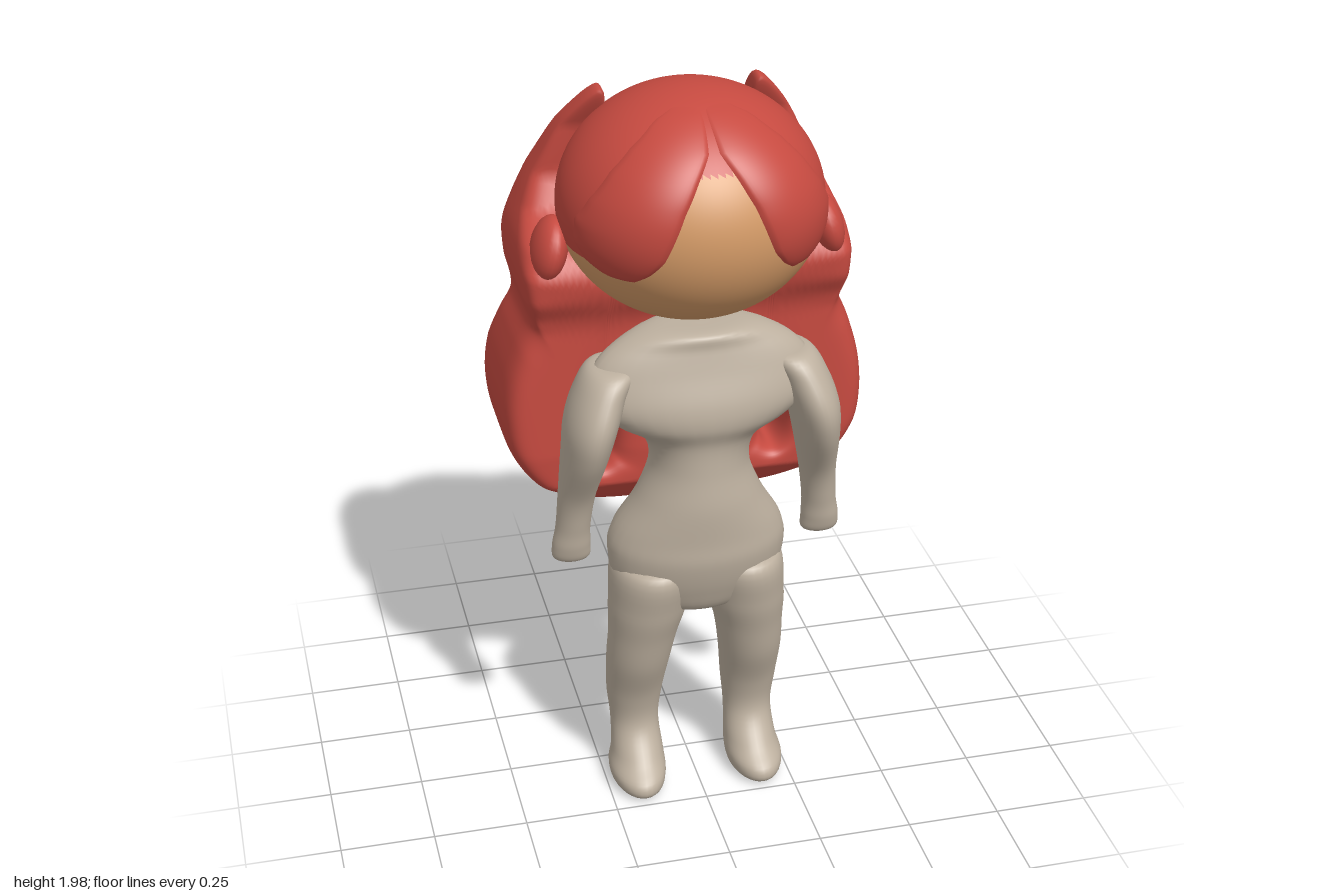
import * as THREE from 'three';
import { mergeVertices } from 'three/addons/utils/BufferGeometryUtils.js';

const mat = (name, color) => Object.assign(new THREE.MeshStandardMaterial({ color }), { name });

// Smooth surface from f(u, v) -> [x, y, z]; flip reverses the faces for mirrored parts
function surface(f, nu, nv, flip = false) {
  const pos = [], idx = [];
  for (let j = 0; j <= nv; j++)
    for (let i = 0; i <= nu; i++) pos.push(...f(i / nu, j / nv));
  for (let j = 0; j < nv; j++)
    for (let i = 0; i < nu; i++) {
      const a = j * (nu + 1) + i, b = a + 1, c = a + nu + 1, d = c + 1;
      idx.push(...(flip ? [a, b, c, b, d, c] : [a, c, b, b, c, d]));
    }
  let g = new THREE.BufferGeometry();
  g.setAttribute('position', new THREE.Float32BufferAttribute(pos, 3));
  g.setIndex(idx);
  g = mergeVertices(g, 1e-5);
  g.computeVertexNormals();
  return g;
}

// Limb through elliptical sections [x, y, z, radiusX, radiusZ], bottom to top, with closed ends
function limb(rows, side = 1) {
  const first = rows[0], last = rows[rows.length - 1];
  const all = [
    [first[0], first[1] - 0.006, first[2], 0, 0], ...rows,
    [last[0], last[1] + 0.006, last[2], 0, 0]];
  const centre = new THREE.CatmullRomCurve3(all.map(r => new THREE.Vector3(r[0] * side, r[1], r[2])), false, 'catmullrom');
  const radius = new THREE.CatmullRomCurve3(all.map(r => new THREE.Vector3(r[3], r[4], 0)), false, 'catmullrom');
  return surface((u, v) => {
    const c = centre.getPoint(v), r = radius.getPoint(v), a = u * Math.PI * 2;
    return [c.x + r.x * Math.cos(a), c.y, c.z + r.y * Math.sin(a)];
  }, 32, (all.length - 1) * 6);
}

// Linear lookup in a [key, value...] table, returning column k
function lookup(table, key, k = 1) {
  if (key <= table[0][0]) return table[0][k];
  for (let i = 1; i < table.length; i++)
    if (key <= table[i][0]) {
      const a = table[i - 1], b = table[i];
      return THREE.MathUtils.lerp(a[k], b[k], (key - a[0]) / (b[0] - a[0]));
    }
  return table[table.length - 1][k];
}

// One half of the long hair: a thick slab with a tunnel through it
const hairOutline = new THREE.CatmullRomCurve3([
  [-0.12, 0.8], [0.04, 0.79], [0.2, 0.8], [0.3, 0.835], [0.4, 0.9], [0.465, 1.0], [0.48, 1.1], [0.47, 1.2],
  [0.44, 1.3], [0.41, 1.38], [0.425, 1.47], [0.425, 1.56], [0.395, 1.65], [0.35, 1.75], [0.28, 1.88],
  [0.2, 1.96], [0.18, 1.85], [0.16, 1.72], [0.1, 1.64], [0, 1.61], [-0.12, 1.61], [-0.13, 1.3], [-0.13, 1.0],
].map(([x, y]) => new THREE.Vector3(x, y, 0)), true);
const hairDepth = [ // y, front z, back z
  [0.79, -0.06, -0.26], [0.83, -0.02, -0.32], [0.9, 0.04, -0.35], [1.0, 0.05, -0.375], [1.1, 0.05, -0.385],
  [1.2, 0.05, -0.37], [1.3, 0.05, -0.325], [1.36, 0.05, -0.3], [1.4, 0.06, -0.315], [1.45, 0.09, -0.33],
  [1.52, 0.1, -0.335], [1.58, 0.06, -0.32], [1.64, -0.06, -0.29], [1.72, -0.11, -0.26],
  [1.85, -0.09, -0.19], [1.96, -0.02, -0.12]];

function longHair(side) {
  const hx = 0.235, hy = 1.025;
  return surface((u, v) => {
    const p = hairOutline.getPoint(u), a = Math.atan2(p.y - hy, p.x - hx);
    const s = 0.5 - 0.5 * Math.cos(v * Math.PI * 2);
    const x = THREE.MathUtils.lerp(hx + 0.035 * Math.cos(a), p.x, s);
    const y = THREE.MathUtils.lerp(hy + 0.075 * Math.sin(a), p.y, s);
    const front = lookup(hairDepth, y, 1), back = lookup(hairDepth, y, 2), mid = (front + back) / 2;
    const round = Math.pow(Math.max(0, 1 - Math.pow(Math.abs(2 * s - 1), 5)), 1 / 5);
    return [side * x, y, mid + ((v <= 0.5 ? front : back) - mid) * round];
  }, 160, 72, side < 0);
}

// Fringe lock lying on the head: rows of height, inner x and outer x
const headY = 1.695, headZ = 0.05, headR = 0.335, headH = 0.295;
const fringeRows = [
  [1.59, 0.2, 0.25], [1.62, 0.165, 0.295], [1.66, 0.135, 0.318], [1.72, 0.11, 0.315], [1.78, 0.085, 0.285],
  [1.85, 0.045, 0.235], [1.9, 0.012, 0.185], [1.95, 0.005, 0.12], [1.975, 0.005, 0.06]];

function fringe(side) {
  return surface((u, v) => {
    const y = 1.975 - 0.385 * v;
    const x = THREE.MathUtils.lerp(lookup(fringeRows, y, 1), lookup(fringeRows, y, 2), u);
    const rho = headR * Math.sqrt(1 - ((y - headY) / headH) ** 2);
    const z = Math.sqrt(Math.max(0, rho * rho - x * x));
    const puff = 0.995 + 0.075 * Math.pow(Math.abs(Math.sin(Math.PI * u) * Math.sin(Math.PI * v)), 0.4);
    return [side * x * puff, headY + (y - headY) * (1 + (puff - 1) * 0.3), headZ + z * puff];
  }, 24, 36, side < 0);
}

// Head ellipsoid with the scalp and face as separate face groups
function headGeometry() {
  const g = new THREE.SphereGeometry(1, 96, 72);
  g.scale(headR, headH, headR);
  g.translate(0, headY, headZ);
  const p = g.attributes.position, old = g.index.array, scalp = [], face = [];
  for (let i = 0; i < old.length; i += 3) {
    const t = [old[i], old[i + 1], old[i + 2]];
    const mean = k => t.reduce((s, n) => s + p.getComponent(n, k), 0) / 3;
    const x = Math.abs(mean(0)), hairline = x < 0.05 ? 1.86 : x < 0.2 ? 1.88 : 1.615;
    (mean(2) > 0.06 && mean(1) < hairline ? face : scalp).push(...t);
  }
  g.setIndex([...scalp, ...face]);
  g.addGroup(0, scalp.length, 0);
  g.addGroup(scalp.length, face.length, 1);
  return g;
}

export function createModel() {
  const model = new THREE.Group();
  const hair = mat('red hair', 0xc64a40);
  const skin = mat('tan skin', 0xd69c68);
  const suit = mat('grey suit', 0xbdb09f);
  const add = (name, geometry, material) => {
    const m = new THREE.Mesh(geometry, material);
    m.name = name;
    model.add(m);
    return m;
  };

  add('head', headGeometry(), [hair, skin]);

  // Hips, waist, chest and shoulder yoke
  add('torso', limb([
    [0, 0.59, 0.12, 0.13, 0.09], [0, 0.66, 0.115, 0.215, 0.135], [0, 0.75, 0.115, 0.237, 0.16],
    [0, 0.82, 0.12, 0.222, 0.157], [0, 0.92, 0.14, 0.165, 0.14], [0, 1.02, 0.145, 0.13, 0.125],
    [0, 1.1, 0.15, 0.15, 0.12], [0, 1.16, 0.17, 0.235, 0.12], [0, 1.22, 0.172, 0.285, 0.115],
    [0, 1.3, 0.162, 0.28, 0.1], [0, 1.36, 0.155, 0.225, 0.09], [0, 1.4, 0.15, 0.13, 0.085]]), suit);

  for (const side of [1, -1]) {
    const label = side > 0 ? 'left' : 'right';
    add(label + 'Leg', limb([
      [0.165, 0.012, 0.115, 0.06, 0.11], [0.165, 0.05, 0.115, 0.076, 0.125], [0.16, 0.1, 0.09, 0.07, 0.095],
      [0.16, 0.18, 0.06, 0.066, 0.07], [0.16, 0.28, 0.065, 0.076, 0.078], [0.155, 0.4, 0.095, 0.085, 0.098],
      [0.145, 0.5, 0.115, 0.092, 0.105], [0.132, 0.6, 0.122, 0.105, 0.125], [0.12, 0.72, 0.115, 0.1, 0.14]], side), suit);
    add(label + 'Arm', limb([
      [0.335, 0.75, 0.12, 0.046, 0.034], [0.335, 0.79, 0.125, 0.05, 0.045], [0.33, 0.85, 0.13, 0.045, 0.05],
      [0.32, 0.95, 0.14, 0.048, 0.068], [0.303, 1.08, 0.17, 0.058, 0.112], [0.288, 1.17, 0.18, 0.066, 0.125],
      [0.262, 1.25, 0.172, 0.066, 0.11], [0.23, 1.31, 0.16, 0.06, 0.08]], side), suit);
    add(label + 'LongHair', longHair(side), hair);
    add(label + 'Fringe', fringe(side), hair);

    // Small lock in front of the ear
    const lock = add(label + 'SideLock', new THREE.SphereGeometry(1, 24, 16), hair);
    lock.scale.set(0.045, 0.085, 0.085);
    lock.position.set(side * 0.355, 1.585, 0.03);
    lock.rotation.z = side * 0.25;
  }
  return model;
}
